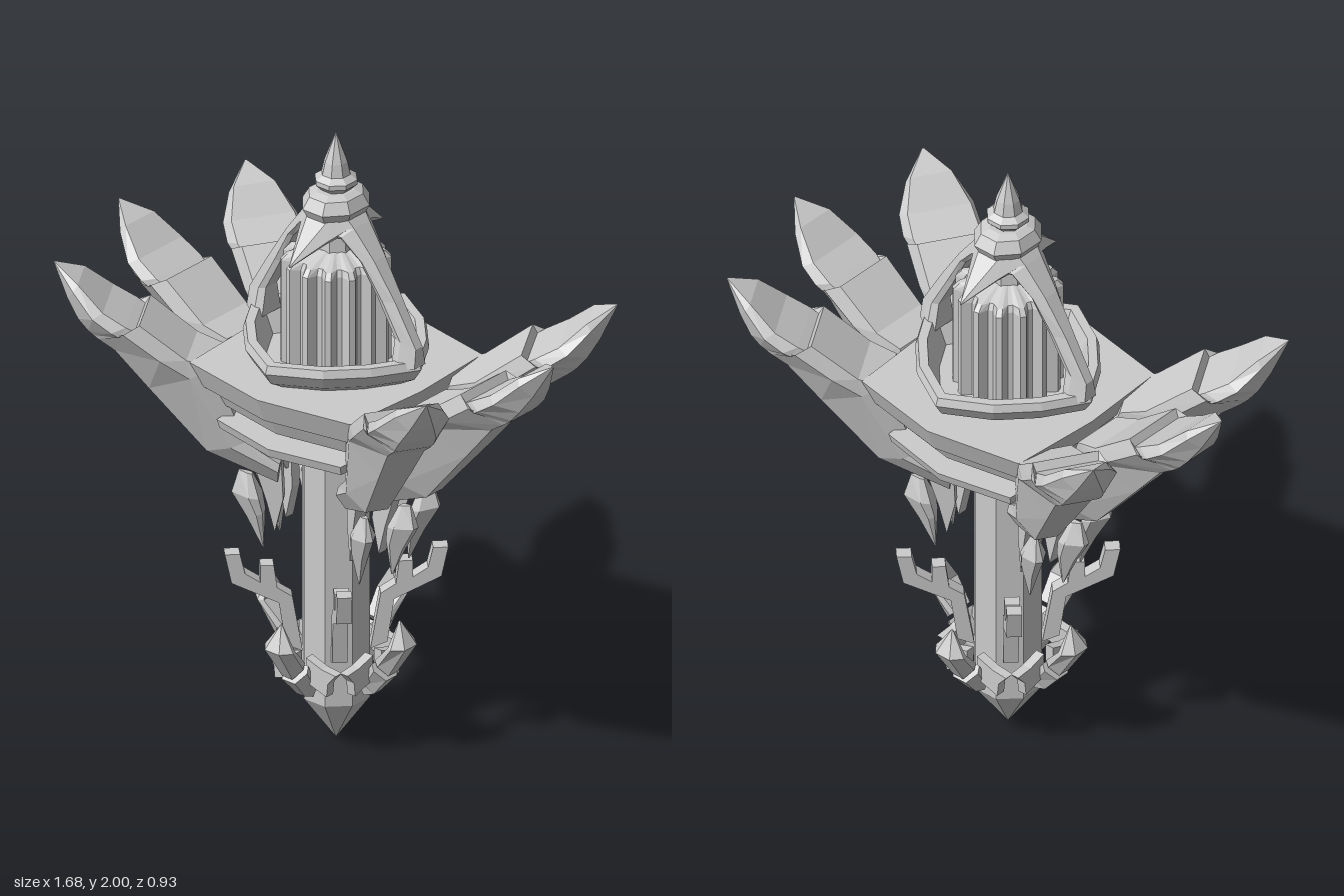
import * as THREE from 'three';

const material = new THREE.MeshStandardMaterial({ color: 0xcccccc, flatShading: true });

function add(parent, name, geometry) {
  const mesh = new THREE.Mesh(geometry, material);
  mesh.name = name;
  parent.add(mesh);
  return mesh;
}

// Skins equal-length loops of points; ends are capped unless the loops form a ring
function loft(loops, ring = false) {
  const tris = [];
  const n = loops[0].length;
  const last = ring ? loops.length : loops.length - 1;
  for (let i = 0; i < last; i++) {
    const a = loops[i], b = loops[(i + 1) % loops.length];
    for (let j = 0; j < n; j++) {
      const k = (j + 1) % n;
      tris.push([a[j], a[k], b[k]], [a[j], b[k], b[j]]);
    }
  }
  if (!ring) {
    const a = loops[0], b = loops[loops.length - 1];
    for (let j = 1; j < n - 1; j++) tris.push([a[0], a[j + 1], a[j]], [b[0], b[j], b[j + 1]]);
  }
  // Turn all faces outward when the enclosed volume is negative
  let volume = 0;
  for (const [a, b, c] of tris) volume += a.dot(b.clone().cross(c));
  const points = [];
  for (const [a, b, c] of tris) points.push(...(volume < 0 ? [a, c, b] : [a, b, c]));
  const geometry = new THREE.BufferGeometry().setFromPoints(points);
  geometry.computeVertexNormals();
  return geometry;
}

// Faceted blade along +x; station = [innerX, innerY, outerX, outerY, halfWidth]
function blade(stations, keel = 0.5) {
  return loft(stations.map(([ix, iy, ox, oy, w]) => {
    const mx = ix * 0.65 + ox * 0.35, my = iy * 0.65 + oy * 0.35;
    return [
      [ix, iy, -w * 0.85], [ix, iy, w * 0.85], [mx, my, w],
      [ox, oy, w * keel], [ox, oy, -w * keel], [mx, my, -w],
    ].map((p) => new THREE.Vector3(...p));
  }));
}

// Flat plate cut from an outline in the xy plane
function plate(outline, thickness) {
  const shape = new THREE.Shape(outline.map((p) => new THREE.Vector2(...p)));
  return new THREE.ExtrudeGeometry(shape, { depth: thickness, bevelEnabled: false })
    .translate(0, 0, -thickness / 2);
}

function lathe(profile, sides = 8) {
  return new THREE.LatheGeometry(profile.map((p) => new THREE.Vector2(...p)), sides)
    .rotateY(Math.PI / sides);
}

// Repeats a set of parts around the vertical axis
function around(parent, name, degrees, build) {
  for (const angle of degrees) {
    const group = new THREE.Group();
    group.name = name;
    group.rotation.y = THREE.MathUtils.degToRad(angle);
    build(group);
    parent.add(group);
  }
}

export function createModel() {
  const model = new THREE.Group();
  model.name = 'lanternSpire';

  // Octagonal shaft with pointed foot and collar
  add(model, 'shaft', lathe([[0, 0], [0.106, 0.15], [0.106, 0.94], [0.138, 0.95], [0.138, 0.985], [0, 0.985]]));

  // Stepped platform: [y, halfX, halfZ]
  const outline = [[1, 0], [0.94, 0.84], [0, 1], [-0.94, 0.84], [-1, 0], [-0.94, -0.84], [0, -1], [0.94, -0.84]];
  const tiers = [
    [0.98, 0.13, 0.14], [1.04, 0.25, 0.3], [1.07, 0.255, 0.31], [1.07, 0.18, 0.21],
    [1.105, 0.18, 0.21], [1.105, 0.25, 0.27], [1.17, 0.27, 0.3], [1.17, 0.3, 0.325], [1.25, 0.33, 0.357],
  ];
  add(model, 'platform', loft(tiers.map(([y, hx, hz]) =>
    outline.map(([x, z]) => new THREE.Vector3(x * hx, y, z * hz)))));

  // Pointed ring at the foot of the lantern
  const quarter = [[0.33, 0], [0.25, 0.13], [0.15, 0.235], [0, 0.32], [-0.15, 0.235], [-0.25, 0.13]];
  const ringShape = [...quarter, ...quarter.map(([x, z]) => [-x, -z])];
  const ringSteps = [[1.25, 0.76], [1.28, 0.92], [1.32, 1], [1.345, 0.97], [1.345, 0.87], [1.25, 0.74]];
  add(model, 'lanternRing', loft(ringSteps.map(([y, s]) =>
    ringShape.map(([x, z]) => new THREE.Vector3(x * s, y, z * s))), true));

  // Fluted core with a folded cap and a spindle
  const flutes = 14;
  const fluted = (y, outer, inner) => Array.from({ length: flutes * 4 }, (_, i) => {
    const a = ((i + 0.5) / (flutes * 4)) * Math.PI * 2;
    const r = i % 4 < 2 ? outer : inner;
    return new THREE.Vector3(Math.sin(a) * r, y, Math.cos(a) * r);
  });
  add(model, 'flutedCore', loft([fluted(1.25, 0.163, 0.135), fluted(1.585, 0.163, 0.135),
    fluted(1.605, 0.145, 0.125), fluted(1.63, 0.06, 0.055)]));
  add(model, 'spindle', lathe([[0, 1.6], [0.065, 1.61], [0.06, 1.68], [0.04, 1.72], [0, 1.72]]));

  // Crown and finial
  add(model, 'crown', lathe([[0, 1.7], [0.06, 1.71], [0.085, 1.74], [0.1, 1.77], [0.08, 1.805],
    [0.055, 1.815], [0, 1.815]])).scale.z = 1.15;
  add(model, 'finial', lathe([[0, 1.8], [0.04, 1.81], [0.066, 1.835], [0.066, 1.85], [0.045, 1.865],
    [0.036, 1.905], [0, 2]]));

  // Arched arms on both sides, drooping leaves at front and back
  around(model, 'lanternArm', [0, 180], (g) => add(g, 'arm', blade([
    [0.03, 1.69, 0.07, 1.76, 0.085], [0.07, 1.69, 0.1, 1.725, 0.07], [0.13, 1.63, 0.17, 1.635, 0.05],
    [0.19, 1.52, 0.245, 1.52, 0.035], [0.25, 1.41, 0.322, 1.39, 0.03], [0.25, 1.32, 0.325, 1.33, 0.05],
  ])));
  around(model, 'crownLeaf', [90, 270], (g) => add(g, 'leaf', blade([
    [0.04, 1.7, 0.07, 1.76, 0.085], [0.1, 1.68, 0.12, 1.715, 0.055], [0.21, 1.63, 0.21, 1.635, 0.002],
  ])));

  // Three large petals per side, each with a hanging stem and spike
  around(model, 'petalCluster', [0, 31, -31, 180, 149, 211], (g) => {
    add(g, 'petal', blade([
      [0.16, 0.91, 0.17, 0.84, 0.055], [0.26, 0.98, 0.38, 0.93, 0.07], [0.35, 1.23, 0.55, 1.13, 0.1],
      [0.43, 1.255, 0.65, 1.25, 0.115], [0.57, 1.36, 0.7, 1.285, 0.12], [0.585, 1.335, 0.715, 1.295, 0.113],
      [0.61, 1.35, 0.73, 1.31, 0.12], [0.68, 1.39, 0.76, 1.345, 0.115], [0.76, 1.46, 0.795, 1.4, 0.075],
      [0.84, 1.5, 0.842, 1.498, 0.003],
    ]));
    add(g, 'stem', plate([[0.16, 0.9], [0.155, 0.78], [0.18, 0.67], [0.205, 0.77], [0.24, 0.88]], 0.035));
    add(g, 'spike', blade([
      [0.25, 0.85, 0.29, 0.86, 0.01], [0.225, 0.78, 0.31, 0.79, 0.038], [0.215, 0.73, 0.265, 0.71, 0.03],
      [0.215, 0.61, 0.22, 0.61, 0.002],
    ], 0.3));
  });

  // Forked prongs on the diagonals of the shaft
  around(model, 'forkedProng', [45, 135, 225, 315], (g) => add(g, 'prong', plate([
    [0.1, 0.3], [0.15, 0.32], [0.17, 0.46], [0.31, 0.53], [0.33, 0.625], [0.285, 0.625], [0.27, 0.56],
    [0.225, 0.53], [0.225, 0.585], [0.185, 0.585], [0.175, 0.51], [0.13, 0.48],
  ], 0.045)));

  // Curved flukes with barbs around the foot
  around(model, 'fluke', [0, 90, 180, 270], (g) => {
    add(g, 'lowerFluke', blade([
      [0.1, 0.25, 0.115, 0.18, 0.022], [0.13, 0.25, 0.16, 0.2, 0.032], [0.175, 0.315, 0.215, 0.265, 0.05],
    ]));
    add(g, 'upperFluke', blade([
      [0.18, 0.325, 0.22, 0.28, 0.04], [0.24, 0.39, 0.29, 0.39, 0.055], [0.245, 0.465, 0.25, 0.465, 0.003],
    ]));
    for (const side of [1, -1]) {
      const barb = add(g, 'barb', plate([[0.02, 0.25], [0.1, 0.225], [0.105, 0.27], [0.135, 0.305],
        [0.08, 0.31], [0.02, 0.33]], 0.03));
      barb.rotation.y = side * Math.PI / 2;
      barb.position.x = 0.145;
    }
  });

  return model;
}
